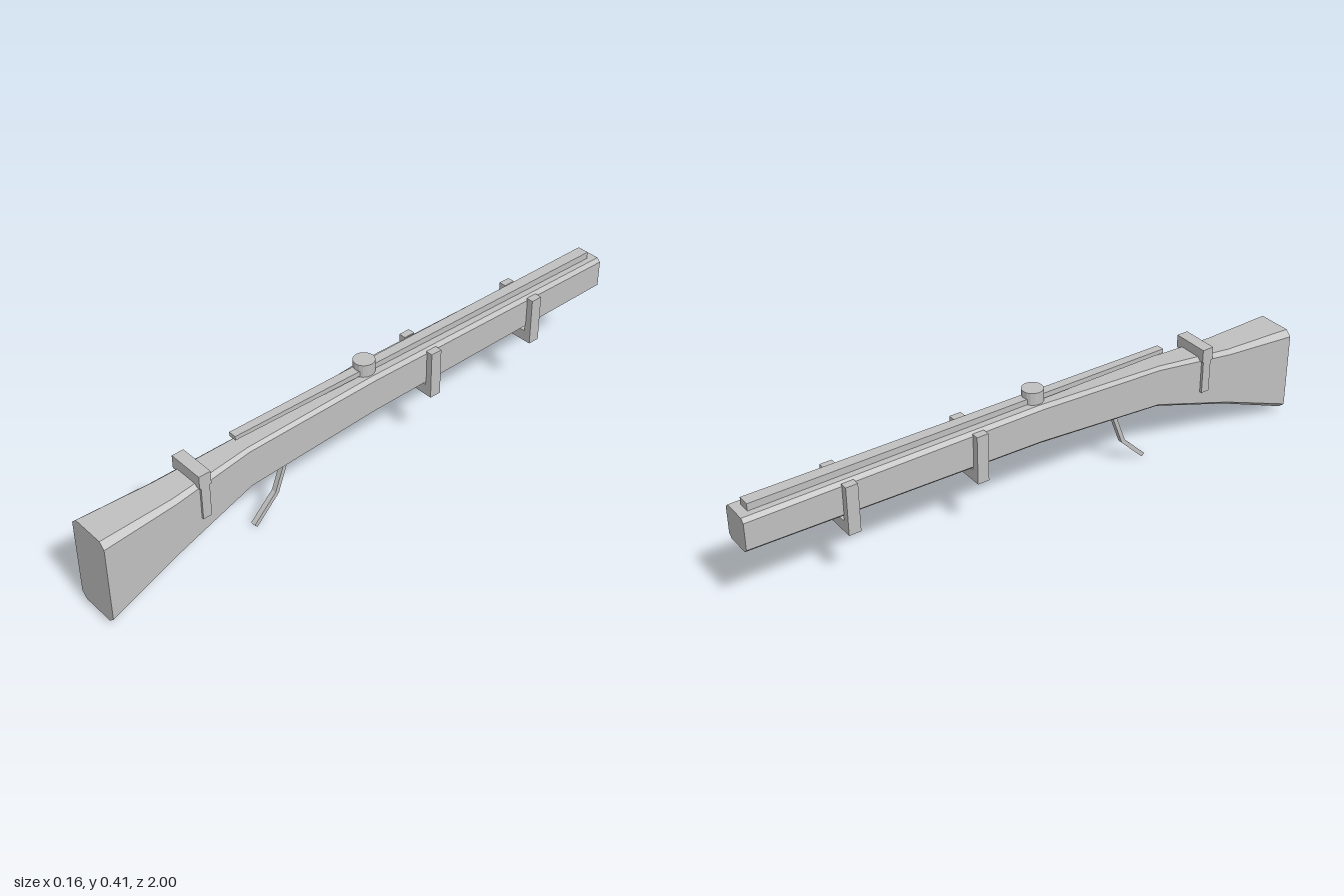
import * as THREE from 'three';

const gray = new THREE.MeshStandardMaterial({ color: 0xc0c0c0 });
gray.name = 'light gray';

// Skins a row of closed rings (counter-clockwise seen from the first end) with flat faces and caps
function loft(rings) {
  const pos = [];
  const tri = (a, b, c) => pos.push(...a, ...b, ...c);
  const n = rings[0].length;
  for (let i = 0; i < rings.length - 1; i++) {
    for (let j = 0; j < n; j++) {
      const k = (j + 1) % n;
      const a = rings[i][j], b = rings[i][k], c = rings[i + 1][k], d = rings[i + 1][j];
      tri(a, d, c);
      tri(a, c, b);
    }
  }
  const first = rings[0], last = rings[rings.length - 1];
  for (let j = 1; j < n - 1; j++) {
    tri(first[0], first[j], first[j + 1]);
    tri(last[0], last[j + 1], last[j]);
  }
  const g = new THREE.BufferGeometry();
  g.setAttribute('position', new THREE.Float32BufferAttribute(pos, 3));
  g.computeVertexNormals();
  return g;
}

// Rectangle with chamfered corners at depth z
function chamferedRing(z, w, y0, y1, cx, cy) {
  return [
    [w - cx, y0, z], [w, y0 + cy, z], [w, y1 - cy, z], [w - cx, y1, z],
    [cx - w, y1, z], [-w, y1 - cy, z], [-w, y0 + cy, z], [cx - w, y0, z],
  ];
}

const rectRing = (z, w, y0, y1) => [[w, y0, z], [w, y1, z], [-w, y1, z], [-w, y0, z]];

export function createModel() {
  const group = new THREE.Group();
  const add = (name, geometry, parent = group) => {
    const mesh = new THREE.Mesh(geometry, gray);
    mesh.name = name;
    parent.add(mesh);
    return mesh;
  };
  const box = (name, parent, x0, x1, y0, y1, z0, z1) => {
    add(name, new THREE.BoxGeometry(x1 - x0, y1 - y0, z1 - z0), parent)
      .position.set((x0 + x1) / 2, (y0 + y1) / 2, (z0 + z1) / 2);
  };

  // Long stock: z, half width, bottom, top, chamfer width, chamfer height
  add('stock', loft([
    [1, 0.078, 0.015, 0.315, 0.02, 0.019],
    [0.75, 0.062, 0.11, 0.317, 0.015, 0.013],
    [0.47, 0.041, 0.193, 0.34, 0.011, 0.01],
    [0, 0.052, 0.234, 0.37, 0.012, 0.012],
    [-1, 0.052, 0.256, 0.37, 0.012, 0.012],
  ].map((s) => chamferedRing(...s))));

  // Narrow rail on top, slightly wider and higher at the far end
  add('topRail', loft([
    rectRing(0.5, 0.014, 0.372, 0.386),
    rectRing(-0.97, 0.02, 0.368, 0.394),
  ]));

  // Round knob over the rail
  const knob = new THREE.CylinderGeometry(0.035, 0.035, 0.045, 16).toNonIndexed();
  knob.computeVertexNormals();
  add('knob', knob).position.set(0, 0.3885, 0);

  // Bracket over the neck: top bar and two side legs
  const rear = new THREE.Group();
  rear.name = 'neckBracket';
  group.add(rear);
  box('bracketBar', rear, -0.064, 0.064, 0.315, 0.36, 0.627, 0.668);
  for (const s of [-0.0525, 0.0525]) box('bracketLeg', rear, s - 0.01, s + 0.01, 0.2, 0.33, 0.632, 0.662);

  // Two cradles under the fore-end: bottom bar and two side legs
  for (const z of [-0.232, -0.674]) {
    const cradle = new THREE.Group();
    cradle.name = 'cradle';
    group.add(cradle);
    box('cradleBar', cradle, -0.05, 0.05, 0.2, 0.238, z - 0.02, z + 0.02);
    for (const s of [-0.0615, 0.0615]) box('cradleLeg', cradle, s - 0.0125, s + 0.0125, 0.2, 0.365, z - 0.02, z + 0.02);
  }

  // Bent trigger: path y, z with the half-thickness direction y, z
  add('trigger', loft([
    [0.22, 0.306, 0.002, 0.006],
    [0.09, 0.355, 0.004, 0.006],
    [0.005, 0.44, 0.005, 0.005],
  ].map(([y, z, dy, dz]) => [
    [-0.009, y - dy, z - dz], [-0.009, y + dy, z + dz],
    [0.009, y + dy, z + dz], [0.009, y - dy, z - dz],
  ])));

  return group;
}
